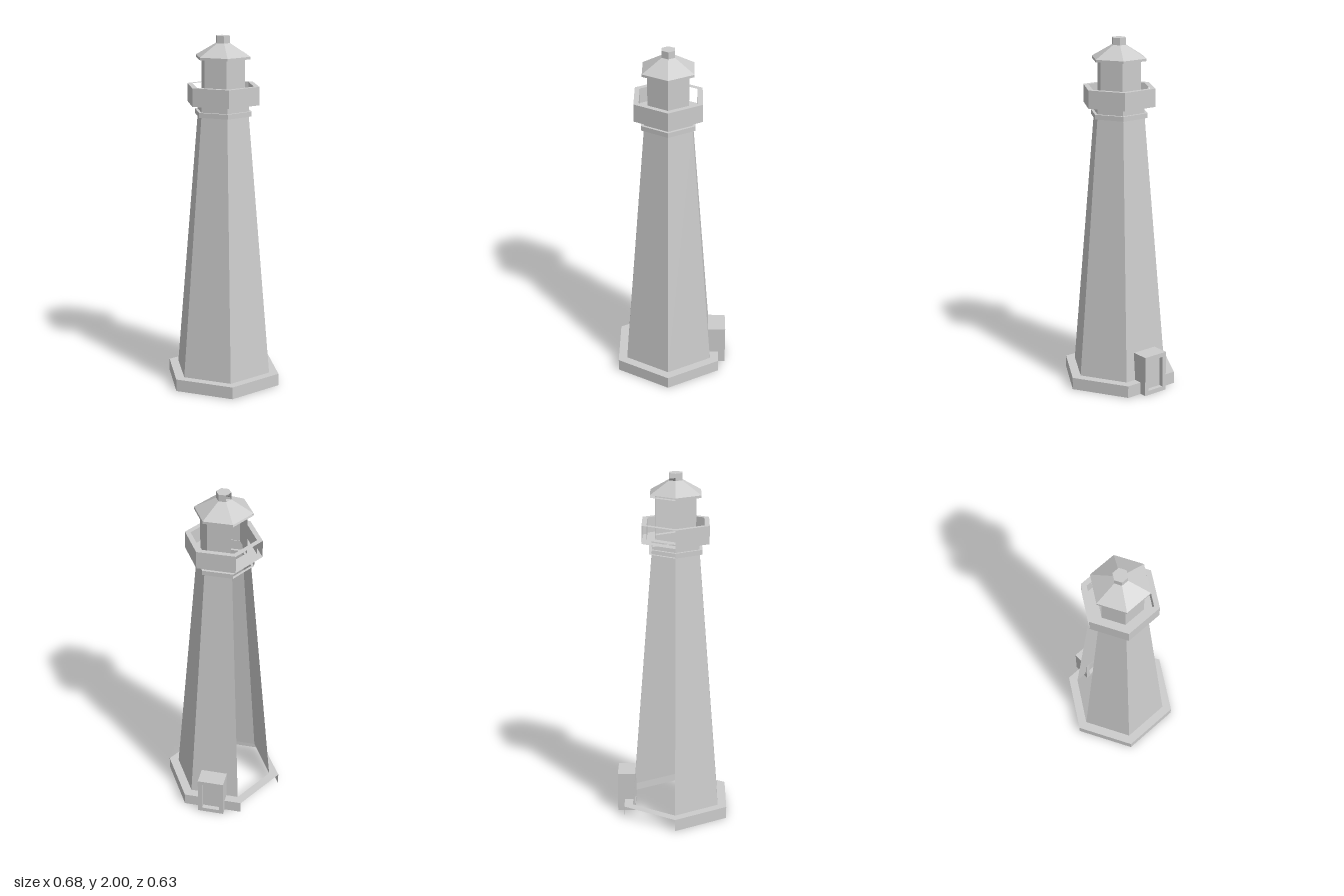
import * as THREE from 'three';

const AXIS_Z = 0.02; // the doorway at the back shifts the tower axis forward

export function createModel() {
  const model = new THREE.Group();
  model.name = 'lighthouse';
  const mat = new THREE.MeshStandardMaterial({ color: 0xcccccc, flatShading: true, side: THREE.DoubleSide });

  const tower = new THREE.Group();
  tower.name = 'tower';
  tower.position.z = AXIS_Z;
  model.add(tower);

  const add = (parent, name, geo) => {
    const mesh = new THREE.Mesh(geo, mat);
    mesh.name = name;
    parent.add(mesh);
    return mesh;
  };

  // Hexagonal wall band; five sides leave the back corner sector open.
  const wall = (name, rBottom, rTop, y0, y1, sides = 5) => {
    const geo = new THREE.CylinderGeometry(rTop, rBottom, y1 - y0, sides, 1, true,
      Math.PI * 1.5, sides * Math.PI / 3);
    add(tower, name, geo.translate(0, (y0 + y1) / 2, 0));
  };

  // Flat hexagonal ledge at height y, facing up or down.
  const ledge = (name, rIn, rOut, y, up = true) => {
    const geo = rIn > 0 ? new THREE.RingGeometry(rIn, rOut, 6, 1) : new THREE.CircleGeometry(rOut, 6);
    add(tower, name, geo.rotateX(up ? -Math.PI / 2 : Math.PI / 2).translate(0, y, 0));
  };

  // Plinth, hollow underneath
  wall('plinthWall', 0.342, 0.342, 0, 0.07);
  ledge('plinthTop', 0.285, 0.342, 0.07);

  // Tapering shaft
  wall('shaft', 0.285, 0.153, 0.07, 1.56);

  // Moulding and neck
  ledge('mouldingUnderside', 0.153, 0.17, 1.56, false);
  wall('mouldingWall', 0.17, 0.17, 1.56, 1.587);
  ledge('mouldingTop', 0.153, 0.17, 1.587);
  wall('neck', 0.153, 0.153, 1.587, 1.625);

  // Gallery with parapet
  ledge('galleryUnderside', 0.153, 0.215, 1.625, false);
  wall('parapetOuter', 0.215, 0.215, 1.625, 1.727);
  ledge('parapetTop', 0.183, 0.215, 1.727);
  wall('parapetInner', 0.183, 0.183, 1.64, 1.727);
  ledge('galleryFloor', 0.13, 0.183, 1.64);

  // Lantern room
  wall('lanternRoom', 0.13, 0.13, 1.64, 1.876);

  // Roof and cap
  ledge('eaveUnderside', 0.13, 0.162, 1.876, false);
  wall('eaveWall', 0.162, 0.162, 1.876, 1.89);
  wall('roof', 0.162, 0.041, 1.89, 1.96, 6);
  wall('capWall', 0.041, 0.041, 1.96, 2);
  ledge('capTop', 0, 0.041, 2);

  // Doorway: a deep frame around a recessed door
  const doorway = new THREE.Group();
  doorway.name = 'doorway';
  model.add(doorway);
  const rect = (Type, x0, y0, x1, y1) => {
    const p = new Type();
    p.moveTo(x0, y0);
    p.lineTo(x1, y0);
    p.lineTo(x1, y1);
    p.lineTo(x0, y1);
    p.closePath();
    return p;
  };
  const frame = rect(THREE.Shape, -0.073, 0, 0.08, 0.232);
  frame.holes.push(rect(THREE.Path, -0.048, 0.025, 0.055, 0.207));
  add(doorway, 'doorFrame', new THREE.ExtrudeGeometry(frame, { depth: 0.102, bevelEnabled: false }))
    .position.z = -0.317;
  add(doorway, 'door', new THREE.PlaneGeometry(0.103, 0.182).rotateY(Math.PI))
    .position.set(0.0035, 0.116, -0.29);

  return model;
}
